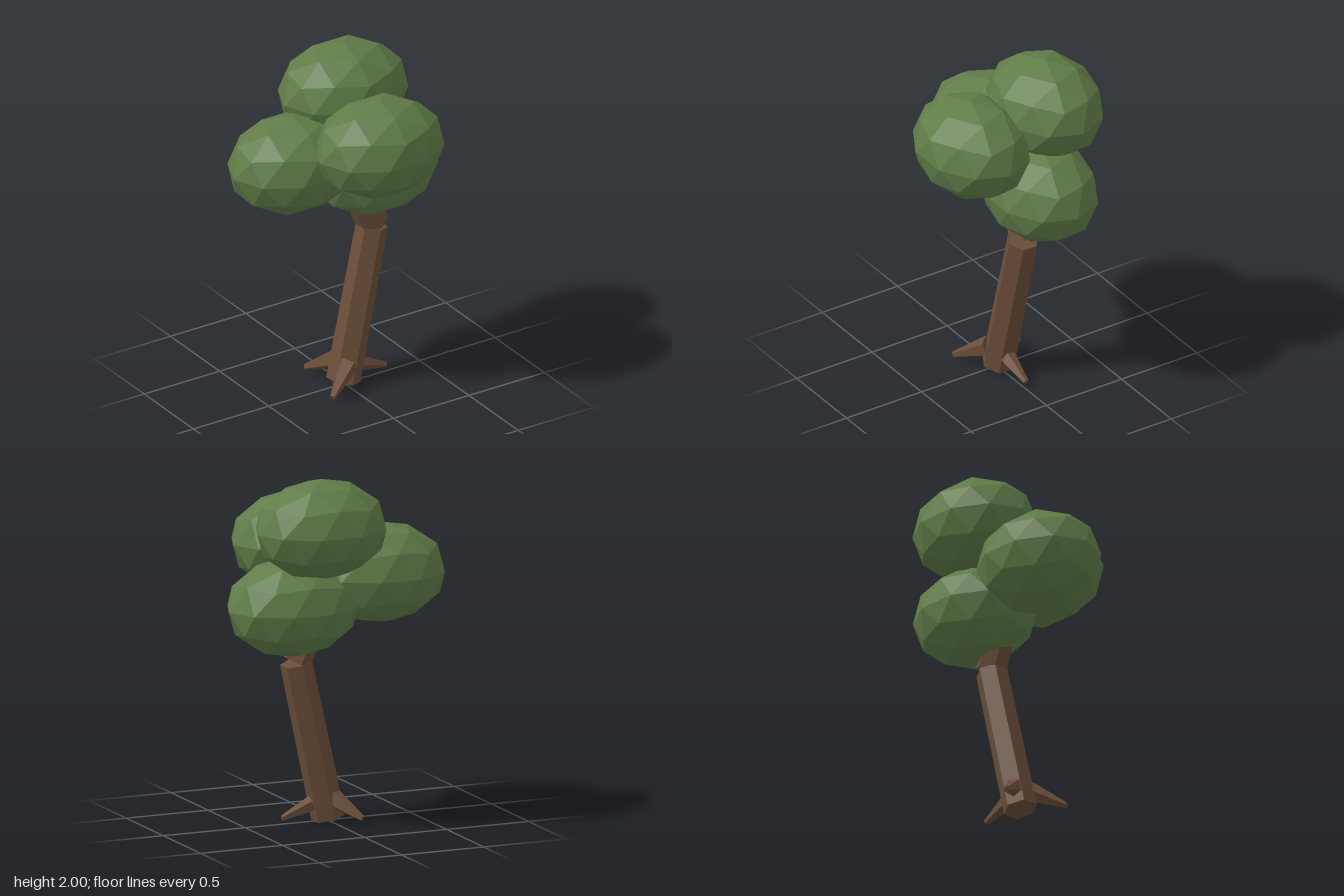
import * as THREE from 'three';

const bark = new THREE.MeshStandardMaterial({ color: 0x6b4e39, flatShading: true });
bark.name = 'bark brown';
const leaf = new THREE.MeshStandardMaterial({ color: 0x607c48, flatShading: true });
leaf.name = 'leaf green';

// Tapered prism running from one point to another
function limb(name, from, to, r0, r1, sides) {
  const a = new THREE.Vector3(...from);
  const b = new THREE.Vector3(...to);
  const dir = b.clone().sub(a);
  const mesh = new THREE.Mesh(new THREE.CylinderGeometry(r1, r0, dir.length(), sides), bark);
  mesh.position.copy(a).add(b).multiplyScalar(0.5);
  mesh.quaternion.setFromUnitVectors(new THREE.Vector3(0, 1, 0), dir.normalize());
  mesh.name = name;
  return mesh;
}

export function createModel() {
  const tree = new THREE.Group();
  tree.name = 'tree';

  // Leaning trunk and the crooked piece on top of it
  tree.add(limb('trunk', [0, 0.025, -0.01], [0.207, 0.925, -0.036], 0.097, 0.091, 6));
  tree.add(limb('upperTrunk', [0.215, 0.935, -0.036], [0.1, 1.18, -0.05], 0.092, 0.084, 6));

  // Three roots spread around the base
  const roots = [
    [[0.02, 0.135, -0.01], [0.28, 0.04, -0.01]],
    [[-0.01, 0.145, 0.05], [-0.185, 0.04, 0.165]],
    [[0, 0.145, -0.05], [-0.115, 0.045, -0.22]],
  ];
  for (const [from, to] of roots) tree.add(limb('root', from, to, 0.06, 0.017, 5));

  // Four faceted leaf clumps, each standing on a pole vertex
  const clump = new THREE.IcosahedronGeometry(1, 1);
  clump.rotateX(-Math.atan((1 + Math.sqrt(5)) / 2));
  clump.scale(0.389, 0.285, 0.309);
  const clumps = {
    topFoliage: [0.14, 1.715, -0.226],
    frontFoliage: [0.085, 1.565, 0.225],
    rightFoliage: [-0.265, 1.415, -0.117],
    leftFoliage: [0.262, 1.263, -0.11],
  };
  for (const [name, position] of Object.entries(clumps)) {
    const mesh = new THREE.Mesh(clump, leaf);
    mesh.position.set(...position);
    mesh.name = name;
    tree.add(mesh);
  }
  return tree;
}
